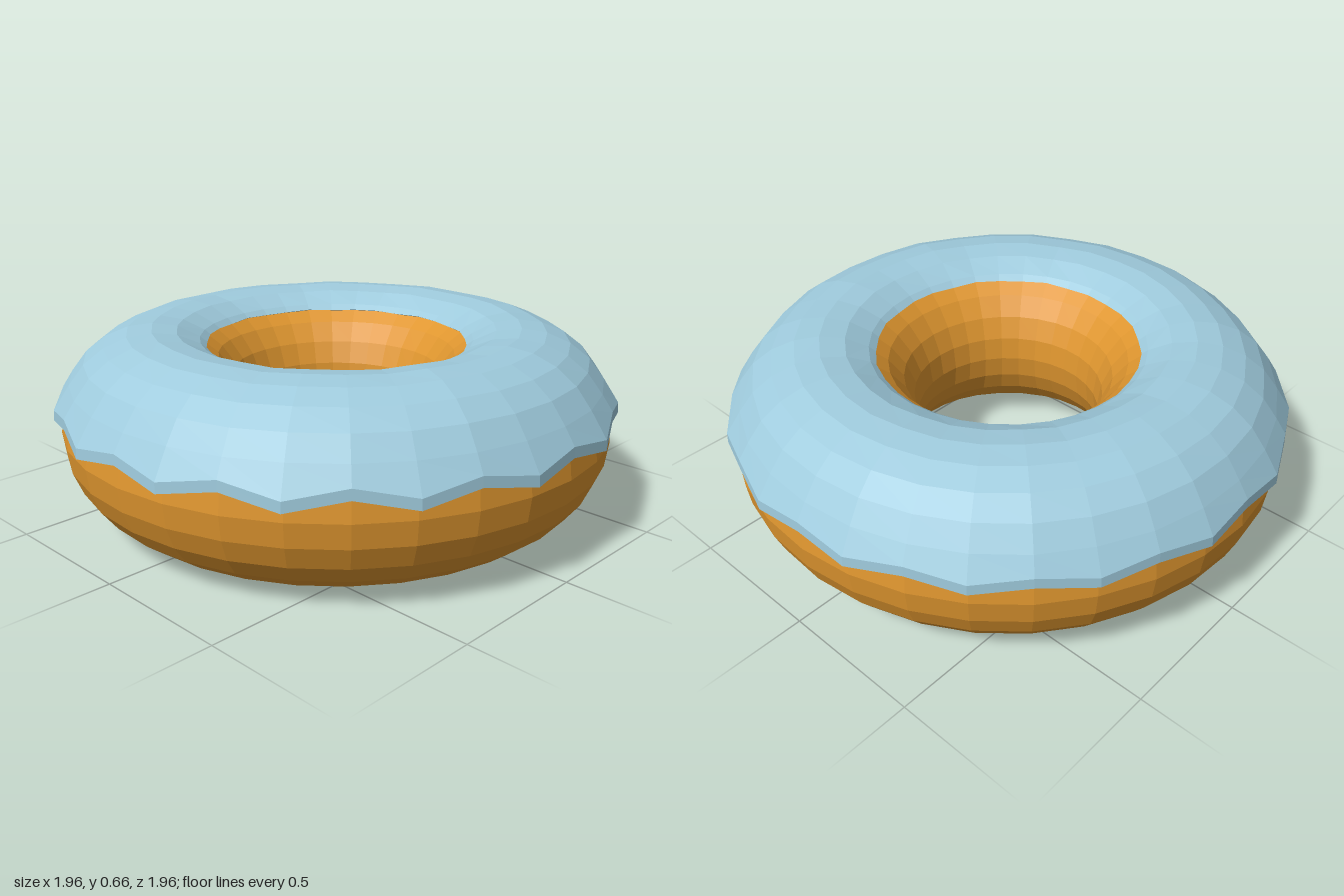
import * as THREE from 'three';

const SEGMENTS = 32;           // facets around the ring
const STEPS = 24;              // facets around the tube
const RING = 0.6475, TUBE = 0.322;
const rad = THREE.MathUtils.degToRad;

// Point [radius, height] on the tube, pushed out by an offset
const tubePoint = (deg, offset = 0) => [
  RING + (TUBE + offset) * Math.cos(rad(deg)),
  TUBE + (TUBE + offset) * Math.sin(rad(deg)),
];

// Sweep a cross-section, which may vary per segment, around the y axis with flat facets
function sweep(section) {
  const positions = [], index = [];
  let count = 0;
  for (let i = 0; i < SEGMENTS; i++) {
    const a = (i / SEGMENTS) * Math.PI * 2 + rad(2);
    const points = section(i, a);
    count = points.length;
    for (const [r, y] of points) positions.push(r * Math.sin(a), y, r * Math.cos(a));
  }
  for (let i = 0; i < SEGMENTS; i++) {
    const p = i * count, q = ((i + 1) % SEGMENTS) * count;
    for (let j = 0; j < count - 1; j++) {
      index.push(p + j, p + j + 1, q + j + 1, p + j, q + j + 1, q + j);
    }
  }
  const indexed = new THREE.BufferGeometry();
  indexed.setAttribute('position', new THREE.Float32BufferAttribute(positions, 3));
  indexed.setIndex(index);
  const geometry = indexed.toNonIndexed();
  geometry.computeVertexNormals();
  return geometry;
}

// Full round tube of dough
function doughSection() {
  const points = [];
  for (let j = 0; j <= STEPS; j++) points.push(tubePoint(180 - (j * 360) / STEPS));
  return points;
}

// Thin shell over the top, ending in a lip of alternating drips
function icingSection(i, a) {
  const drip = i % 2;
  const strength = 0.8 + 0.2 * Math.cos(a - rad(45));
  const wobble = 0.004 * Math.sin(i * 2.3);
  const points = [tubePoint(122, -0.02), tubePoint(125 + 150 * wobble, 0.004)];
  for (let deg = 120; deg >= 30; deg -= 15) {
    points.push(tubePoint(deg, deg > 110 ? 0.007 : 0.011 + wobble * 0.6));
  }
  const lipRadius = 0.973 + 0.022 * drip * strength + wobble * 0.5;
  const lipTop = 0.432 - 0.034 * drip * strength;
  points.push([lipRadius, lipTop]);
  points.push([lipRadius + 0.002, lipTop - 0.036]);
  points.push([0.94, lipTop - 0.026]);
  return points;
}

export function createModel() {
  const group = new THREE.Group();
  const doughMaterial = new THREE.MeshStandardMaterial({ color: 0xdf962f });
  doughMaterial.name = 'golden dough';
  const icingMaterial = new THREE.MeshStandardMaterial({ color: 0x9fcbdd });
  icingMaterial.name = 'pale blue icing';

  const dough = new THREE.Mesh(sweep(doughSection), doughMaterial);
  dough.name = 'dough';
  const icing = new THREE.Mesh(sweep(icingSection), icingMaterial);
  icing.name = 'icing';
  group.add(dough, icing);
  group.name = 'doughnut';
  return group;
}
